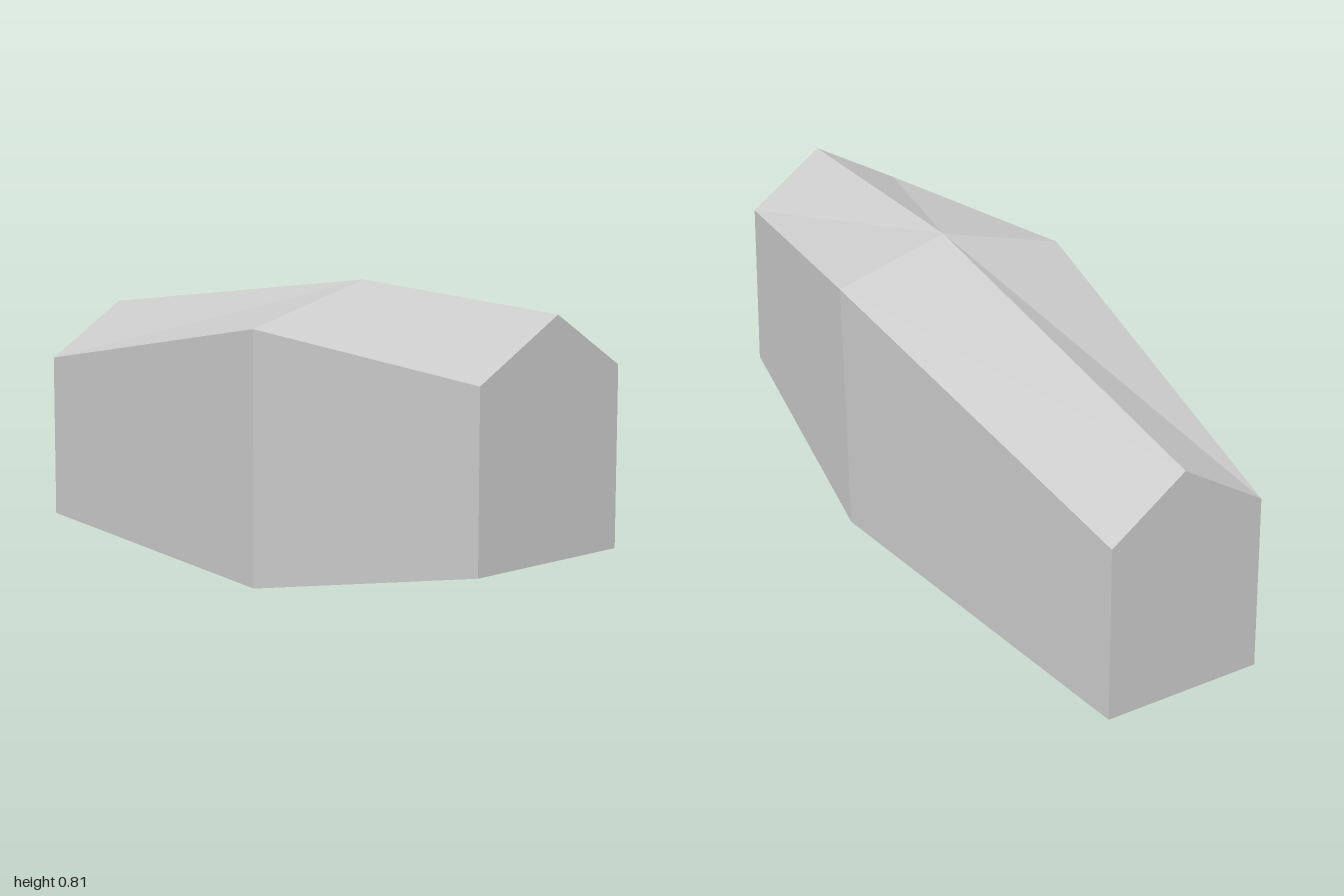
import * as THREE from 'three';

// Five-sided cross-sections, front to back:
// lower left, lower right, right eave, ridge, left eave
const SECTIONS = [
  [[-0.365, 0.197, 1], [0.12, 0.197, 1], [0.12, 0.66, 1], [-0.1, 0.805, 1], [-0.365, 0.66, 1]],
  [[-0.365, 0.027, 0.19], [0.315, 0.027, 0.215], [0.315, 0.707, 0.245], [0, 0.805, 0.215], [-0.365, 0.707, 0.19]],
  [[-0.1, 0, -1], [0.365, 0, -1], [0.365, 0.465, -1], [0.145, 0.61, -1], [-0.1, 0.465, -1]],
];

function facetMesh(name, triangles, material) {
  const geometry = new THREE.BufferGeometry();
  geometry.setAttribute('position', new THREE.Float32BufferAttribute(triangles.flat(2), 3));
  geometry.computeVertexNormals();
  const mesh = new THREE.Mesh(geometry, material);
  mesh.name = name;
  return mesh;
}

// Panels joining consecutive sections along the given sides
function panels(sides) {
  const tris = [];
  for (let s = 0; s < SECTIONS.length - 1; s++) {
    for (const k of sides) {
      const n = (k + 1) % 5;
      const a = SECTIONS[s][k], b = SECTIONS[s][n];
      const d = SECTIONS[s + 1][k], c = SECTIONS[s + 1][n];
      // The front left roof and wall fold along the other diagonal
      if (s === 0 && k >= 3) tris.push([a, d, b], [b, d, c]);
      else tris.push([a, d, c], [a, c, b]);
    }
  }
  return tris;
}

// Flat gable end, fanned from its first corner
function gable(corners) {
  return [1, 2, 3].map((i) => [corners[0], corners[i], corners[i + 1]]);
}

export function createModel() {
  const group = new THREE.Group();
  group.name = 'bentGabledBlock';
  const grey = new THREE.MeshStandardMaterial({ color: 0xcccccc });
  grey.name = 'light grey';
  grey.flatShading = true;

  group.add(
    facetMesh('underside', panels([0]), grey),
    facetMesh('sideWalls', panels([1, 4]), grey),
    facetMesh('roof', panels([2, 3]), grey),
    facetMesh('frontGable', gable(SECTIONS[0]), grey),
    facetMesh('backGable', gable([...SECTIONS[2]].reverse()), grey),
  );
  return group;
}
